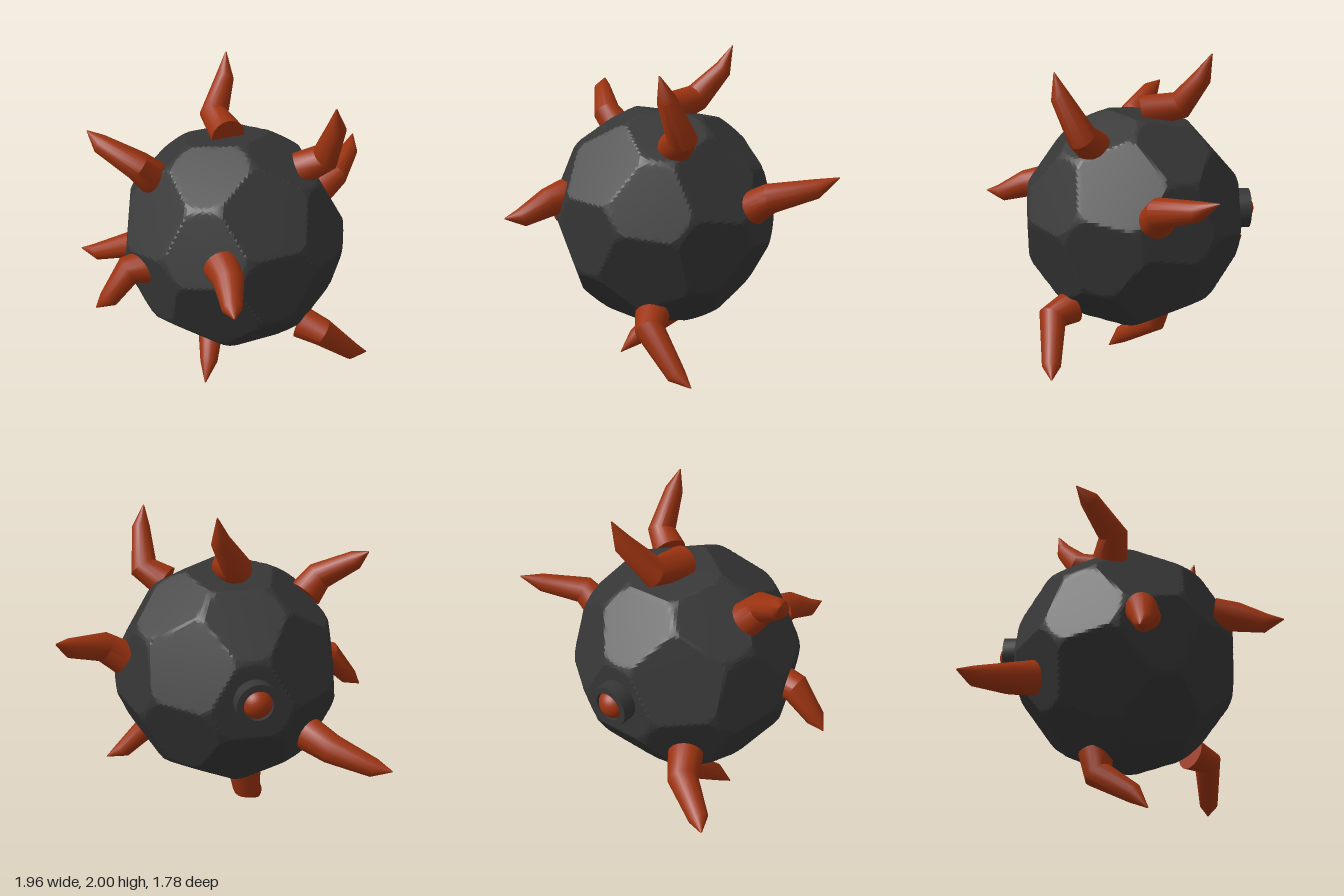
import * as THREE from 'three';
import { toCreasedNormals } from 'three/addons/utils/BufferGeometryUtils.js';

const CENTER = new THREE.Vector3(-0.06, 0.99, -0.037);
const V = (a) => new THREE.Vector3(...a);

// Ball planed flat by 32 facets: 12 five-sided and 20 six-sided
function bodyGeometry() {
  const ico = new THREE.IcosahedronGeometry(1, 0).rotateX(-THREE.MathUtils.degToRad(69.09));
  const p = ico.attributes.position;
  const planes = [];
  const add = (n, d) => {
    if (!planes.some((q) => q.n.distanceTo(n) < 0.01)) planes.push({ n, d });
  };
  for (let i = 0; i < p.count; i += 3) {
    const [a, b, c] = [0, 1, 2].map((k) => new THREE.Vector3().fromBufferAttribute(p, i + k));
    add(a.clone().add(b).add(c).normalize(), 0.645);
    [a, b, c].forEach((v) => add(v.normalize(), 0.632));
  }
  const geo = new THREE.IcosahedronGeometry(1, 40);
  const pos = geo.attributes.position;
  const v = new THREE.Vector3();
  for (let i = 0; i < pos.count; i++) {
    v.fromBufferAttribute(pos, i).normalize();
    let r = 0.686;
    for (const { n, d } of planes) {
      const c = v.dot(n);
      if (c > 0.7) r = Math.min(r, d / c);
    }
    v.multiplyScalar(r);
    pos.setXYZ(i, v.x, v.y, v.z);
  }
  geo.deleteAttribute('uv');
  return toCreasedNormals(geo, 0.16);
}

// Bent horn lofted through base, elbow, shoulder and pointed tip
function hornGeometry(base, elbow, shoulder, tip) {
  const [p0, p1, p2, p3] = [base, elbow, shoulder, tip].map(V);
  const d0 = p1.clone().sub(p0).normalize();
  const d1 = p2.clone().sub(p1).normalize();
  const bend = d0.clone().add(d1).normalize();
  const rings = [
    [p0, d0, 0.001], [p0, d0, 0.102], [p1, bend, 0.087], [p2, d1, 0.056], [p3, d1, 0.003],
  ];
  const N = 18, verts = [], index = [];
  const u = new THREE.Vector3(0.31, 0.52, 0.79).cross(d0).normalize();
  let prev = d0;
  rings.forEach(([c, d, r], k) => {
    u.applyQuaternion(new THREE.Quaternion().setFromUnitVectors(prev, d));
    prev = d;
    const w = d.clone().cross(u);
    for (let i = 0; i < N; i++) {
      const a = (i / N) * Math.PI * 2;
      const q = c.clone().addScaledVector(u, r * Math.cos(a)).addScaledVector(w, r * Math.sin(a));
      verts.push(q.x, q.y, q.z);
      if (k === 0) continue;
      const j = (i + 1) % N, lo = (k - 1) * N, hi = k * N;
      index.push(lo + i, lo + j, hi + j, lo + i, hi + j, hi + i);
    }
  });
  const geo = new THREE.BufferGeometry();
  geo.setAttribute('position', new THREE.Float32BufferAttribute(verts, 3));
  geo.setIndex(index);
  return toCreasedNormals(geo, 0.6);
}

const HORNS = {
  topHorn: [[-0.06, 1.635, -0.09], [-0.05, 1.68, -0.33], [0.07, 1.86, -0.44], [0.1, 2, -0.49]],
  upperFrontHorn: [[0.27, 1.49, 0.21], [0.39, 1.57, 0.28], [0.385, 1.8, 0.4], [0.36, 1.93, 0.43]],
  upperRightHorn: [[-0.53, 1.45, -0.11], [-0.62, 1.55, -0.09], [-0.8, 1.67, -0.22], [-0.85, 1.73, -0.29]],
  backHorn: [[-0.44, 0.72, -0.54], [-0.53, 0.68, -0.68], [-0.74, 0.6, -0.81], [-0.82, 0.605, -0.89]],
  rightHorn: [[-0.66, 0.98, 0.08], [-0.77, 0.98, 0.075], [-0.91, 0.82, 0.09], [-0.98, 0.77, 0.07]],
  frontHorn: [[-0.36, 1.15, 0.5], [-0.37, 1.13, 0.63], [-0.42, 1.06, 0.79], [-0.45, 1.07, 0.89]],
  leftHorn: [[0.58, 1.13, -0.12], [0.7, 1.21, -0.13], [0.9, 1.27, -0.3], [0.98, 1.33, -0.4]],
  lowerFrontHorn: [[0.23, 0.5, 0.36], [0.32, 0.47, 0.47], [0.54, 0.26, 0.48], [0.65, 0.22, 0.48]],
  bottomHorn: [[-0.14, 0.38, -0.2], [-0.16, 0.24, -0.18], [-0.26, 0.1, 0.02], [-0.32, 0, 0.1]],
};

export function createModel() {
  const charcoal = new THREE.MeshStandardMaterial({ color: 0x363636 });
  charcoal.name = 'charcoal';
  const rust = new THREE.MeshStandardMaterial({ color: 0x9c3310 });
  rust.name = 'rust';

  const model = new THREE.Group();
  model.name = 'hornedBall';
  const add = (name, geo, mat) => {
    const mesh = new THREE.Mesh(geo, mat);
    mesh.name = name;
    model.add(mesh);
    return mesh;
  };

  add('body', bodyGeometry(), charcoal).position.copy(CENTER);
  for (const [name, points] of Object.entries(HORNS)) add(name, hornGeometry(...points), rust);

  // Button on the back: open collar with a domed centre
  const profile = [[0.085, -0.02], [0.124, -0.02], [0.124, 0.09], [0.085, 0.09], [0.085, -0.02]];
  const collar = new THREE.LatheGeometry(profile.map(([x, y]) => new THREE.Vector2(x, y)), 32);
  collar.deleteAttribute('uv');
  const ring = add('buttonCollar', toCreasedNormals(collar.toNonIndexed(), 0.6), charcoal);
  const dome = add('buttonDome', new THREE.SphereGeometry(0.088, 28, 10, 0, Math.PI * 2, 0, Math.PI / 2), rust);
  for (const part of [ring, dome]) {
    part.rotation.x = -Math.PI / 2;
    part.position.set(-0.07, 1.02, -0.68);
  }
  dome.position.z = -0.715;
  return model;
}
